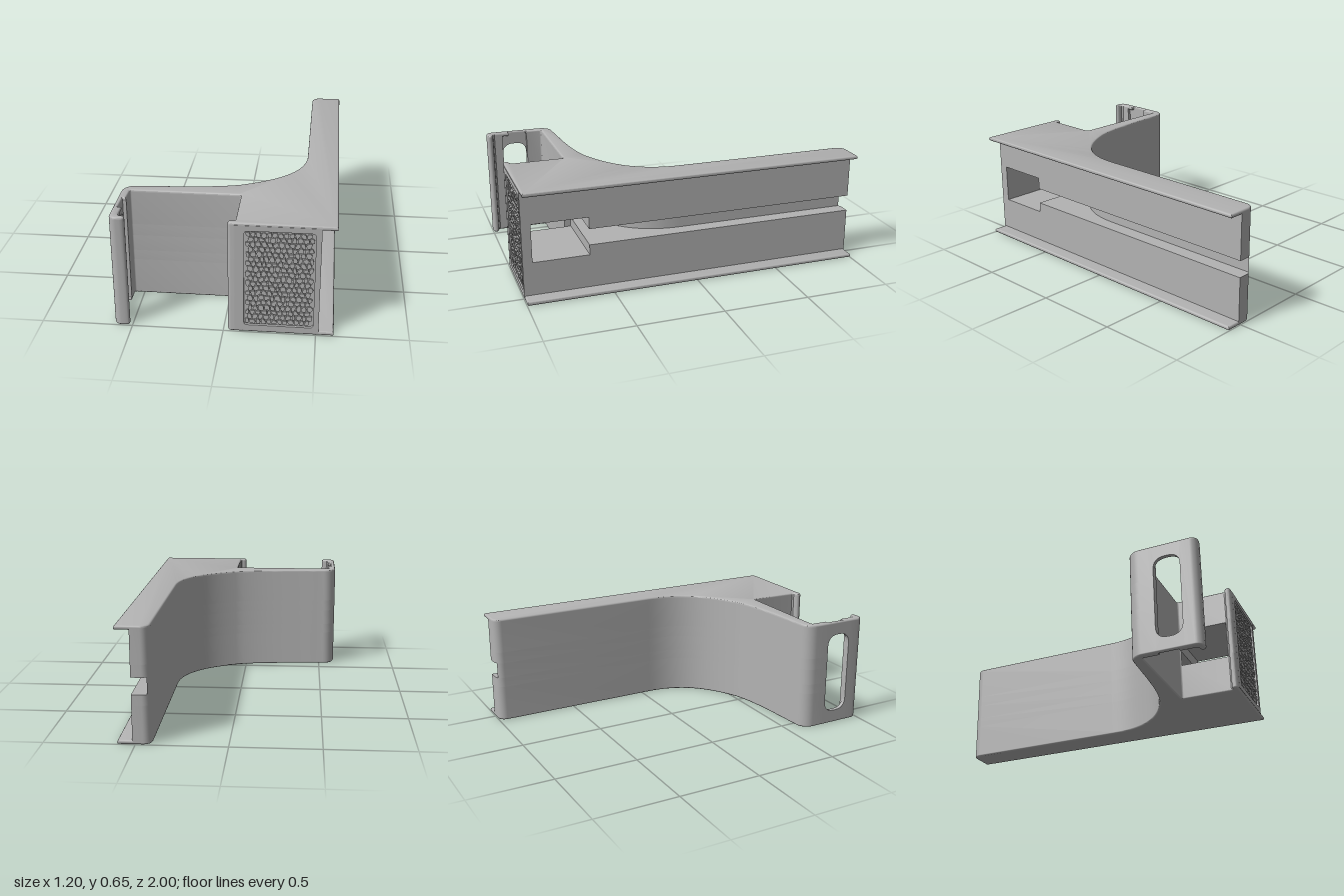
import * as THREE from 'three';
import { toCreasedNormals } from 'three/addons/utils/BufferGeometryUtils.js';

const H = 0.655, BEV = 0.011, CAP = 0.024;
const FACE = 0.515, FLANGE = 0.597, FRONT = 0.985;

const bez = (n, a, b, c, d) => new THREE.CubicBezierCurve(
  ...[a, b, c, d].map(p => new THREE.Vector2(...p))).getPoints(n).map(p => [p.x, p.y]);

// Circular fillet, angles in degrees in the (x, z) plan
const arc = (cx, cz, r, a0, a1, n = 8) => Array.from({ length: n + 1 }, (_, i) => {
  const a = THREE.MathUtils.degToRad(a0 + (a1 - a0) * i / n);
  return [cx + r * Math.cos(a), cz + r * Math.sin(a)];
});

// Plan outlines, as lists of [x, z]
const backCorner = arc(0.46, -0.95, 0.05, 270, 180);
const outerWall = [
  ...bez(24, [0.41, 0.05], [0.41, 0.33], [0.22, 0.44], [0.05, 0.515]),
  ...bez(14, [0.05, 0.515], [-0.1, 0.565], [-0.32, 0.57], [-0.52, 0.585]).slice(1),
  ...arc(-0.525, 0.66, 0.075, 268, 180),
];
const armHook = [
  ...arc(-0.56, 0.96, 0.04, 180, 90), [-0.54, 0.998], ...arc(-0.532, 0.98, 0.017, 70, -90, 6), [-0.547, 0.96],
];
const pocketCeiling = [...arc(-0.545, 0.66, 0.01, 180, 270, 4), ...arc(0.055, 0.66, 0.01, 270, 360, 4)];
const blockHook = [[0.065, 0.95], [0.058, 0.96], ...arc(0.043, 0.98, 0.018, 270, 90, 8)];

const capOutline = [
  ...backCorner, ...outerWall, ...armHook,
  [-0.555, 0.95], [-0.555, 0.86], [-0.575, 0.86], [-0.575, 0.75], [-0.555, 0.75],
  ...pocketCeiling, ...blockHook, [FLANGE, 0.998], [FLANGE, -1],
];
const armStub = [[-0.6, 0.745], [-0.555, 0.745]];
const frontEnd = [[0.065, 1], [0.065, FRONT], [FACE, FRONT]];
const solidOutline = [...backCorner, ...outerWall, ...armStub, ...pocketCeiling, ...blockHook, ...frontEnd, [FACE, -1]];
const wideOutline = [...backCorner, ...outerWall, ...armStub, ...pocketCeiling, [0.065, 0.62], [FACE, 0.62], [FACE, -1]];
const slotOutline = [
  [0.43, -0.99], ...backCorner.filter(p => p[0] < 0.429), ...outerWall, ...armStub, ...pocketCeiling,
  ...bez(24, [0.065, 0.535], [0.23, 0.465], [0.43, 0.35], [0.43, 0.05]),
];
const frontWallOutline = [[0.065, 0.945], ...blockHook, ...frontEnd, [FACE, 0.945]];
const railOutline = [[-0.6, 0.9], ...armHook, [-0.555, 0.95], [-0.555, 0.9]];

const toShape = pts => new THREE.Shape(pts.map(p => new THREE.Vector2(p[0], p[1])));

// Extrude a plan outline upward from y0 to y1
function layer(pts, y0, y1, bevel = 0) {
  const g = new THREE.ExtrudeGeometry(toShape(pts.map(([x, z]) => [x, -z])), {
    depth: y1 - y0 - 2 * bevel, bevelEnabled: bevel > 0, bevelThickness: bevel,
    bevelSize: bevel, bevelOffset: -bevel, bevelSegments: 3,
  });
  g.rotateX(-Math.PI / 2);
  g.translate(0, y0 + bevel, 0);
  return toCreasedNormals(g, 0.6);
}

function roundedRect(x0, y0, x1, y1, r, Type = THREE.Path) {
  const p = new Type();
  p.moveTo(x0 + r, y0);
  p.lineTo(x1 - r, y0).quadraticCurveTo(x1, y0, x1, y0 + r);
  p.lineTo(x1, y1 - r).quadraticCurveTo(x1, y1, x1 - r, y1);
  p.lineTo(x0 + r, y1).quadraticCurveTo(x0, y1, x0, y1 - r);
  p.lineTo(x0, y0 + r).quadraticCurveTo(x0, y0, x0 + r, y0);
  return p;
}

const rectShape = (x0, y0, x1, y1) => toShape([[x0, y0], [x1, y0], [x1, y1], [x0, y1]]);

// Repeatable noise in -0.5 .. 0.5
const noise = (a, b, s) => {
  const v = Math.sin(a * 127.1 + b * 311.7 + s * 74.7) * 43758.5453;
  return v - Math.floor(v) - 0.5;
};

// Irregular pebble cells on a jittered honeycomb
function pebbleShapes(x0, y0, x1, y1, nx, ny) {
  const w = (x1 - x0) / (2 * nx + 1), h = (y1 - y0) / ny, shapes = [];
  const corner = (k, r) => new THREE.Vector2(
    THREE.MathUtils.clamp(x0 + w * (k + noise(k, r, 1) * 0.95), x0, x1),
    THREE.MathUtils.clamp(y0 + h * (r + ((k + r) % 2 ? -0.14 : 0.14) + noise(k, r, 2) * 0.5), y0, y1));
  for (let r = 0; r < ny; r++) for (let i = 0; i < nx; i++) {
    const k = 2 * i + (r % 2);
    const c = [corner(k, r), corner(k + 1, r), corner(k + 2, r),
      corner(k + 2, r + 1), corner(k + 1, r + 1), corner(k, r + 1)];
    const mid = c.reduce((s, p) => s.add(p), new THREE.Vector2()).divideScalar(6);
    c.forEach(p => p.lerp(mid, 0.13));
    const half = j => c[j % 6].clone().lerp(c[(j + 1) % 6], 0.5);
    const s = new THREE.Shape();
    s.moveTo(half(5).x, half(5).y);
    for (let j = 0; j < 6; j++) s.quadraticCurveTo(c[j].x, c[j].y, half(j).x, half(j).y);
    shapes.push(s);
  }
  return shapes;
}

export function createModel() {
  const group = new THREE.Group();
  const grey = new THREE.MeshStandardMaterial({ color: 0xb3b3b3 });
  grey.name = 'grey';
  const add = (name, geometry) => {
    const m = new THREE.Mesh(geometry, grey);
    m.name = name;
    group.add(m);
    return m;
  };

  // Top and bottom plates with the overhanging flanges
  add('bottomPlate', layer(capOutline, 0, CAP, BEV));
  add('topPlate', layer(capOutline, H - CAP, H, BEV));

  // Body between the plates, layered around the cable slot and its wide mouth
  const low = 0.012, high = H - 0.012;
  add('lowerBody', layer(solidOutline, low, 0.22));
  add('upperBody', layer(solidOutline, 0.445, high));
  add('lowerMouthSide', layer(wideOutline, 0.22, 0.28));
  add('upperMouthSide', layer(wideOutline, 0.375, 0.445));
  add('slotFloor', layer(slotOutline, 0.28, 0.375));
  add('mouthFrontWall', layer(frontWallOutline, 0.22, 0.445));

  // Clip arm: hooked rail and a thin plate with a long window
  add('clipRail', layer(railOutline, low, high));
  const plate = rectShape(-0.905, low, -0.74, high);
  plate.holes.push(roundedRect(-0.9, 0.08, -0.745, 0.575, 0.07));
  const windowPlate = new THREE.ExtrudeGeometry(plate, { depth: 0.025, bevelEnabled: false, curveSegments: 8 });
  windowPlate.rotateY(Math.PI / 2);
  windowPlate.translate(-0.6, 0, 0);
  add('clipWindowPlate', windowPlate);

  // Front frame around the grip panel
  const frame = rectShape(0.063, low, FACE, high);
  frame.holes.push(roundedRect(0.112, 0.045, 0.485, 0.612, 0.02));
  add('gripFrame', new THREE.ExtrudeGeometry(frame, { depth: 1 - FRONT, bevelEnabled: false, curveSegments: 5 }))
    .position.z = FRONT;

  // Pebbled grip
  const cells = pebbleShapes(0.116, 0.05, 0.481, 0.607, 12, 19);
  add('gripPebbles', new THREE.ExtrudeGeometry(cells, { depth: 0.01, bevelEnabled: false, curveSegments: 3 }))
    .position.z = FRONT;

  return group;
}
